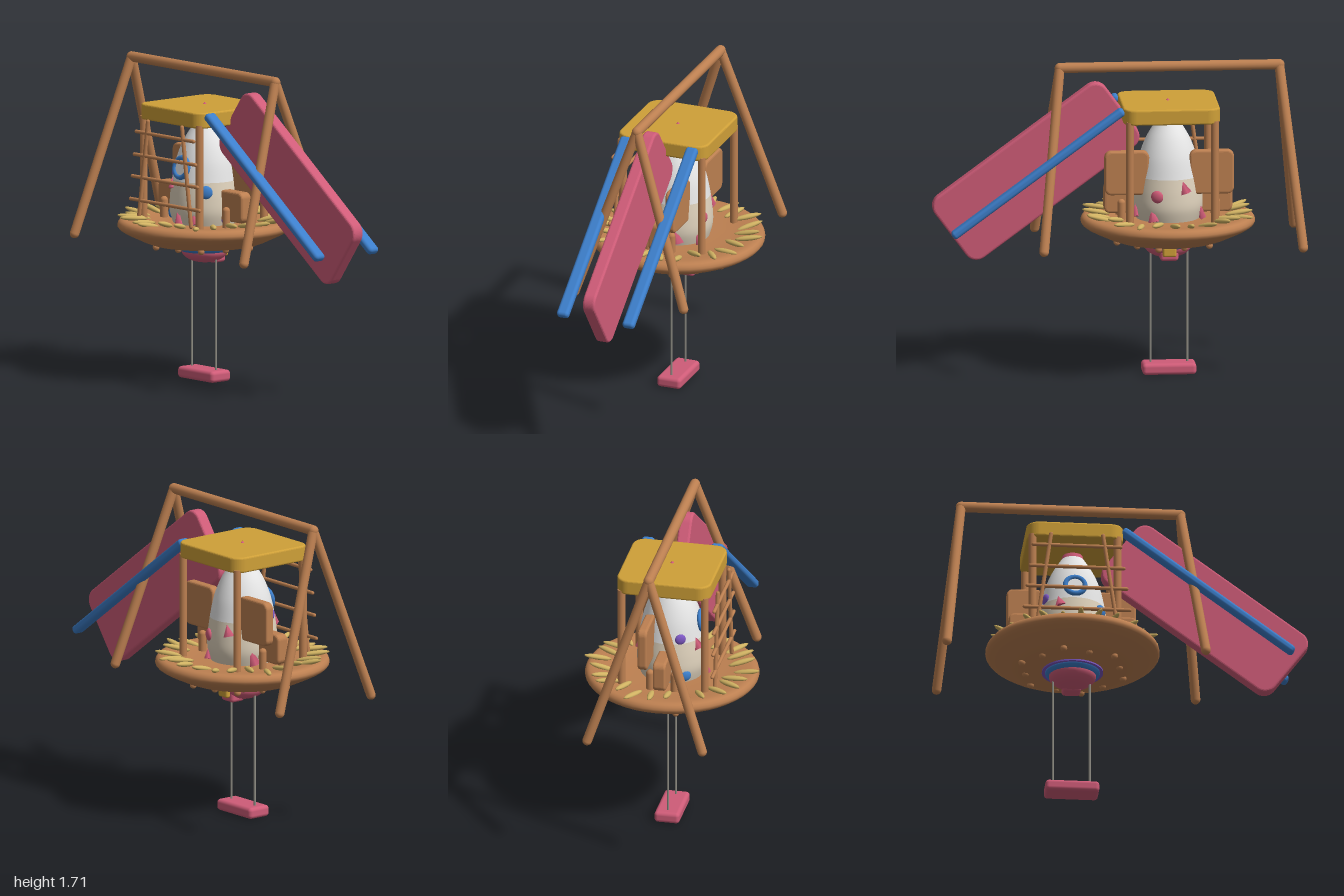
import * as THREE from 'three';
import { RoundedBoxGeometry } from 'three/addons/geometries/RoundedBoxGeometry.js';

const mat = (name, color) => {
  const m = new THREE.MeshStandardMaterial({ color });
  m.name = name;
  return m;
};

export function createModel() {
  const wood = mat('wood', 0xbd8051), pink = mat('pink', 0xcf5c78), blue = mat('blue', 0x3d7fcb);
  const yellow = mat('yellow', 0xcfa038), straw = mat('straw', 0xd0b262), white = mat('white', 0xe6e6e6);
  const cream = mat('cream', 0xdfd2bc), grey = mat('grey', 0x8f8d84), purple = mat('purple', 0x7d58c2);

  const root = new THREE.Group();
  root.name = 'nestPlayground';
  const CX = -0.27; // axis of the nest
  const V = (x, y, z) => new THREE.Vector3(x, y, z);

  function add(name, geo, material, x = 0, y = 0, z = 0) {
    const m = new THREE.Mesh(geo, material);
    m.name = name;
    m.position.set(x, y, z);
    root.add(m);
    return m;
  }
  // round-ended pole between two points
  function pole(name, a, b, r, material = wood) {
    const d = b.clone().sub(a);
    const m = add(name, new THREE.CapsuleGeometry(r, d.length(), 6, 14), material);
    m.position.copy(a).add(b).multiplyScalar(0.5);
    m.quaternion.setFromUnitVectors(V(0, 1, 0), d.normalize());
    return m;
  }
  // plate with rounded corners and softened edges, thickness along z
  function slab(w, h, d, r, bevel = 0.012) {
    const x = w / 2 - bevel, y = h / 2 - bevel, s = new THREE.Shape();
    s.moveTo(-x + r, -y);
    s.lineTo(x - r, -y).absarc(x - r, -y + r, r, -Math.PI / 2, 0);
    s.lineTo(x, y - r).absarc(x - r, y - r, r, 0, Math.PI / 2);
    s.lineTo(-x + r, y).absarc(-x + r, y - r, r, Math.PI / 2, Math.PI);
    s.lineTo(-x, -y + r).absarc(-x + r, -y + r, r, Math.PI, Math.PI * 1.5);
    const g = new THREE.ExtrudeGeometry(s, {
      depth: d - 2 * bevel, bevelEnabled: true, bevelSize: bevel, bevelThickness: bevel, bevelSegments: 3, curveSegments: 8,
    });
    return g.translate(0, 0, -d / 2 + bevel);
  }
  const lathe = (pts) => new THREE.LatheGeometry(pts.map((p) => new THREE.Vector2(...p)), 48);
  const curveLathe = (pts) => new THREE.LatheGeometry(
    new THREE.SplineCurve(pts.map((p) => new THREE.Vector2(...p))).getPoints(24), 48);

  // swing frame
  pole('topBar', V(-0.87, 1.68, 0), V(0.31, 1.68, 0), 0.028);
  for (const [x0, x1] of [[-0.87, -0.973], [0.31, 0.42]])
    for (const s of [-1, 1]) pole('frameLeg', V(x0, 1.68, 0), V(x1, 0.74, 0.315 * s), 0.026);

  // nest bowl
  add('nest', curveLathe([[0, 0.73], [0.15, 0.73], [0.28, 0.738], [0.38, 0.778], [0.452, 0.815], [0.468, 0.842],
    [0.45, 0.87], [0.4, 0.872], [0.3, 0.86], [0.15, 0.855], [0, 0.855]]), wood, CX, 0, 0);

  // straw around the rim
  const N = 26;
  for (let i = 0; i < N; i++) {
    const a = (i / N) * Math.PI * 2 + 0.1, r = 0.385 + 0.02 * Math.sin(i * 2.4);
    const m = add('straw', new THREE.SphereGeometry(1, 10, 8), straw,
      CX + Math.cos(a) * r, 0.882 + 0.008 * Math.sin(i * 1.7), Math.sin(a) * r);
    m.scale.set(0.076, 0.014, 0.017);
    m.rotation.set(0, -a + 0.3 * Math.sin(i * 3.1), 0.16 + 0.1 * Math.sin(i * 5.3), 'YXZ');
  }
  // pegs under the nest
  for (let i = 0; i < 12; i++) {
    const a = (i / 12) * Math.PI * 2 + 0.25, r = i % 2 ? 0.29 : 0.255;
    add('peg', new THREE.SphereGeometry(0.019, 12, 8), wood, CX + Math.cos(a) * r, 0.737, Math.sin(a) * r);
  }

  // hatch under the nest
  add('hatchPlate', new THREE.CylinderGeometry(0.165, 0.165, 0.012, 40), purple, CX, 0.728, 0);
  add('hatchRing', lathe([[0, 0.7], [0.125, 0.7], [0.146, 0.715], [0.15, 0.735], [0, 0.735]]), blue, CX, 0, 0);
  add('hatchDome', new THREE.SphereGeometry(1, 32, 20), pink, CX, 0.705, 0).scale.set(0.128, 0.068, 0.125);
  add('hatchBlock', new RoundedBoxGeometry(0.1, 0.06, 0.09, 3, 0.018), pink, CX, 0.662, -0.066);
  add('hatchLatch', new RoundedBoxGeometry(0.075, 0.055, 0.03, 3, 0.012), yellow, CX, 0.688, -0.125);

  // egg-shaped capsule
  const eggR = (y) => {
    const t = [[0.85, 0.172], [0.92, 0.187], [1.0, 0.186], [1.09, 0.175], [1.2, 0.152], [1.3, 0.113], [1.38, 0.06]];
    for (let i = 1; i < t.length; i++) if (y <= t[i][0]) {
      const k = (y - t[i - 1][0]) / (t[i][0] - t[i - 1][0]);
      return t[i - 1][1] + k * (t[i][1] - t[i - 1][1]);
    }
    return 0.06;
  };
  add('lowerShell', curveLathe([[0.165, 0.84], [0.187, 0.92], [0.186, 1.0], [0.175, 1.09]]), cream, CX, 0, 0);
  add('upperShell', curveLathe([[0.175, 1.09], [0.152, 1.2], [0.113, 1.3], [0.058, 1.39]]), white, CX, 0, 0);
  add('noseCone', curveLathe([[0.062, 1.38], [0.05, 1.42], [0.028, 1.47], [0, 1.505]]), pink, CX, 0, 0);

  // round window
  add('windowFrame', new THREE.TorusGeometry(0.053, 0.014, 12, 32), blue, CX, 1.165, 0.165).rotation.x = -0.2;
  const pane = add('windowPane', new THREE.CylinderGeometry(0.046, 0.046, 0.009, 28), white, CX, 1.165, 0.165);
  pane.rotation.x = Math.PI / 2 - 0.2;

  // spots on the shell, angle measured from the front towards +x
  for (const [a, y, r, material] of [[0.9, 1.04, 0.036, blue], [-1.1, 1.115, 0.03, purple], [-0.95, 0.9, 0.03, blue],
    [1.55, 0.89, 0.03, purple], [2.75, 1.0, 0.034, pink]]) {
    const R = eggR(y), m = add('spot', new THREE.SphereGeometry(r, 20, 14), material,
      CX + Math.sin(a) * R, y, Math.cos(a) * R);
    m.rotation.y = a;
    m.scale.z = 0.5;
  }
  // pointed shards on the shell
  for (const [a, y, h] of [[-0.5, 1.075, 0.065], [-0.02, 0.905, 0.1], [0.55, 0.9, 0.07], [1.9, 0.92, 0.09],
    [-2.7, 1.05, 0.07], [-1.95, 0.91, 0.1], [2.6, 0.9, 0.08]]) {
    const R = eggR(y), m = add('shard', new THREE.ConeGeometry(0.033, h, 4), pink,
      CX + Math.sin(a) * R, y, Math.cos(a) * R);
    m.rotation.set(-0.15, a, 0.25, 'YXZ');
    m.scale.z = 0.6;
  }

  // roof and its posts
  add('roof', slab(0.52, 0.515, 0.085, 0.06, 0.01), yellow, -0.275, 1.452, 0).rotation.x = Math.PI / 2;
  for (const x of [-0.505, -0.048])
    for (const z of [-0.228, 0.228])
      add('roofPost', new THREE.CylinderGeometry(0.021, 0.021, 0.58, 16), wood, x, 1.135, z);

  // climbing ladder at the front
  for (const s of [-1, 1]) pole('ladderRail', V(CX + s * 0.14, 1.41, 0.28), V(CX + s * 0.215, 0.88, 0.28), 0.011);
  [1.345, 1.22, 1.1, 0.975].forEach((y, i) => {
    const w = 0.235 + i * 0.016;
    pole('ladderRung', V(CX - w, y, 0.28), V(CX + w, y, 0.28), 0.01);
  });

  // benches on both sides of the capsule
  for (const s of [-1, 1]) {
    add('benchBack', slab(0.24, 0.24, 0.052, 0.025), wood, CX + s * 0.228, 1.12, -0.092);
    add('benchSeat', slab(0.2, 0.165, 0.07, 0.02), wood, CX + s * 0.245, 0.968, 0);
    for (const z of [-0.067, 0.067]) pole('benchLeg', V(CX + s * 0.255, 0.85, z), V(CX + s * 0.255, 0.95, z), 0.021);
  }

  // slide with two side rails
  const slope = -0.634;
  add('slide', slab(1.14, 0.42, 0.07, 0.058), pink, 0.44, 1.12, 0).rotation.z = slope;
  for (const z of [-0.19, 0.19])
    add('slideRail', new RoundedBoxGeometry(1.14, 0.044, 0.068, 4, 0.018), blue, 0.443, 1.145, z).rotation.z = slope;

  // hanging swing
  add('swingSeat', new RoundedBoxGeometry(0.29, 0.062, 0.138, 4, 0.02), pink, -0.275, 0.031, 0);
  for (const x of [-0.375, -0.177])
    add('swingRope', new THREE.CylinderGeometry(0.006, 0.006, 0.74, 10), grey, x, 0.42, 0);

  return root;
}
